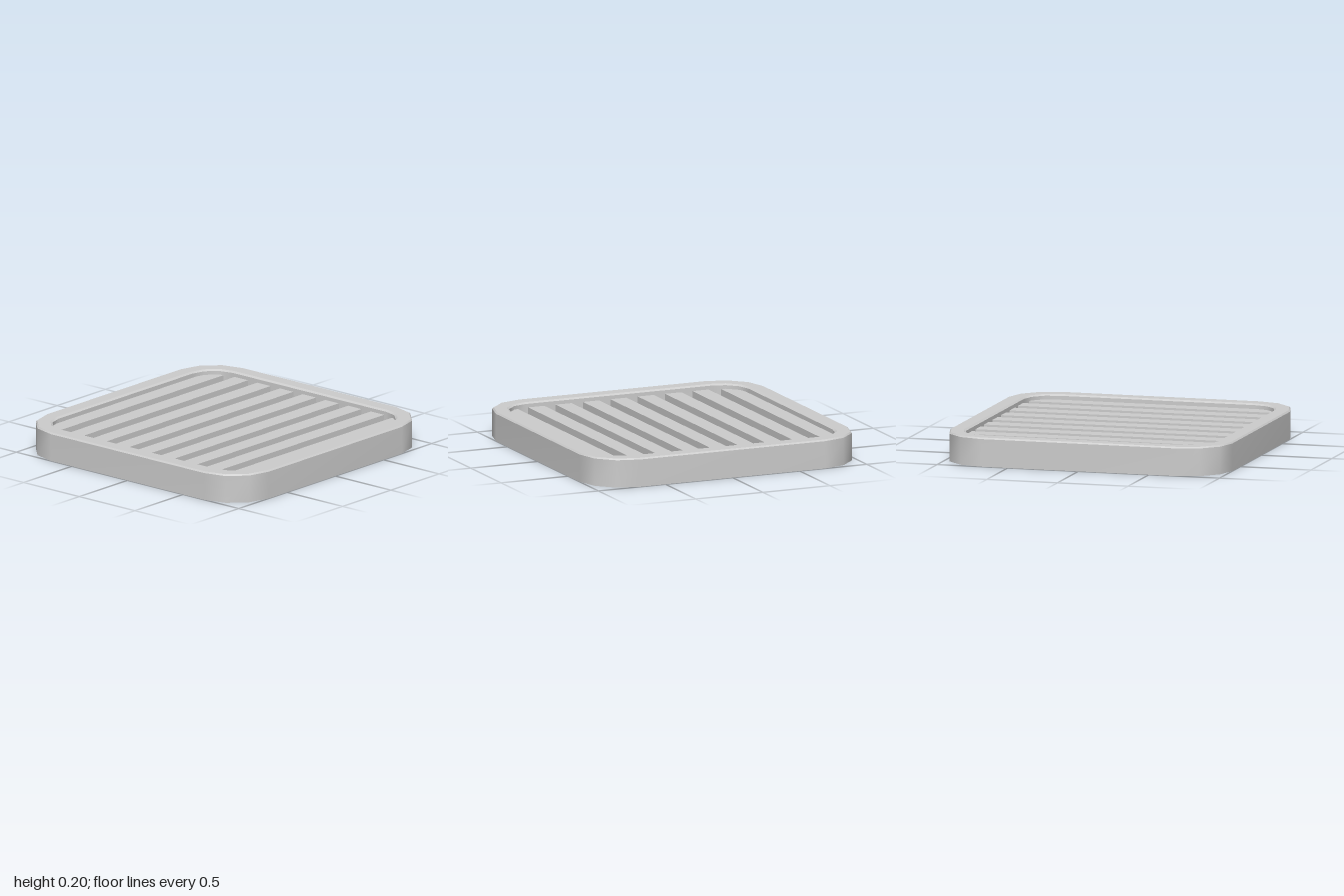
import * as THREE from 'three';

const CORNER_CENTRE = 0.69, CORNER_RADIUS = 0.31, CORNER_STEPS = 3;

// Rounded-square outline as [x, z] points, pulled in by an inset
function outline(inset) {
  const pts = [], r = CORNER_RADIUS - inset;
  for (let q = 0; q < 4; q++) {
    for (let i = 0; i <= CORNER_STEPS; i++) {
      const a = (q + i / CORNER_STEPS) * Math.PI / 2;
      const m = (q + 0.5) * Math.PI / 2;
      pts.push([
        Math.sign(Math.cos(m)) * CORNER_CENTRE + Math.cos(a) * r,
        Math.sign(Math.sin(m)) * CORNER_CENTRE + Math.sin(a) * r,
      ]);
    }
  }
  return pts;
}

// Closed band between two [inset, y] rings, smooth around the corners
function band([insetA, yA], [insetB, yB]) {
  const a = outline(insetA), b = outline(insetB), n = a.length;
  const pos = [], idx = [];
  a.forEach(([x, z]) => pos.push(x, yA, z));
  b.forEach(([x, z]) => pos.push(x, yB, z));
  for (let i = 0; i < n; i++) {
    const j = (i + 1) % n;
    idx.push(i, n + i, j, j, n + i, n + j);
  }
  const g = new THREE.BufferGeometry();
  g.setAttribute('position', new THREE.Float32BufferAttribute(pos, 3));
  g.setIndex(idx);
  g.computeVertexNormals();
  return g;
}

const shapeFrom = (pts) => new THREE.Shape(pts.map(([x, z]) => new THREE.Vector2(x, -z)));

export function createModel() {
  const group = new THREE.Group();
  const grey = new THREE.MeshStandardMaterial({ color: 0xcccccc, side: THREE.DoubleSide });
  grey.name = 'light grey';
  const add = (name, geometry, y = 0) => {
    const mesh = new THREE.Mesh(geometry, grey);
    mesh.name = name;
    mesh.position.y = y;
    group.add(mesh);
  };

  // Frame: thin outer wall, bevelled rim and inner wall, open underneath
  const floorY = 0.1, innerInset = 0.115;
  const rings = [[0, 0], [0, 0.19], [0.01, 0.2], [0.1, 0.2], [innerInset, 0.19], [innerInset, floorY]];
  const names = ['outerWall', 'outerBevel', 'rimTop', 'innerBevel', 'innerWall'];
  names.forEach((name, i) => add(name, band(rings[i], rings[i + 1])));

  // Recessed floor
  const inner = outline(innerInset);
  add('floor', new THREE.ShapeGeometry(shapeFrom(inner)).rotateX(-Math.PI / 2), floorY);

  // Half width of the recess at a given z
  const corner = inner.slice(0, CORNER_STEPS + 1);
  const halfWidth = (z) => {
    const d = Math.abs(z);
    for (let i = 0; i < CORNER_STEPS; i++) {
      const [x0, z0] = corner[i], [x1, z1] = corner[i + 1];
      if (d > z0 && d <= z1) return x0 + (x1 - x0) * (d - z0) / (z1 - z0);
    }
    return corner[0][0];
  };

  // Nine slats across the recess; the end ones follow the rounded corners
  const slatWidth = 0.12, pitch = 0.204, slatHeight = 0.065;
  for (let i = -4; i <= 4; i++) {
    const z0 = i * pitch - slatWidth / 2, z1 = z0 + slatWidth;
    const breaks = corner.flatMap(([, z]) => [z, -z]).filter((z) => z > z0 && z < z1);
    const zs = [z0, ...breaks, z1].sort((p, q) => p - q);
    const right = zs.map((z) => [halfWidth(z), z]);
    const left = right.map(([x, z]) => [-x, z]).reverse();
    const slat = new THREE.ExtrudeGeometry(shapeFrom([...right, ...left]), { depth: slatHeight, bevelEnabled: false });
    add('slat', slat.rotateX(-Math.PI / 2), floorY);
  }
  return group;
}
